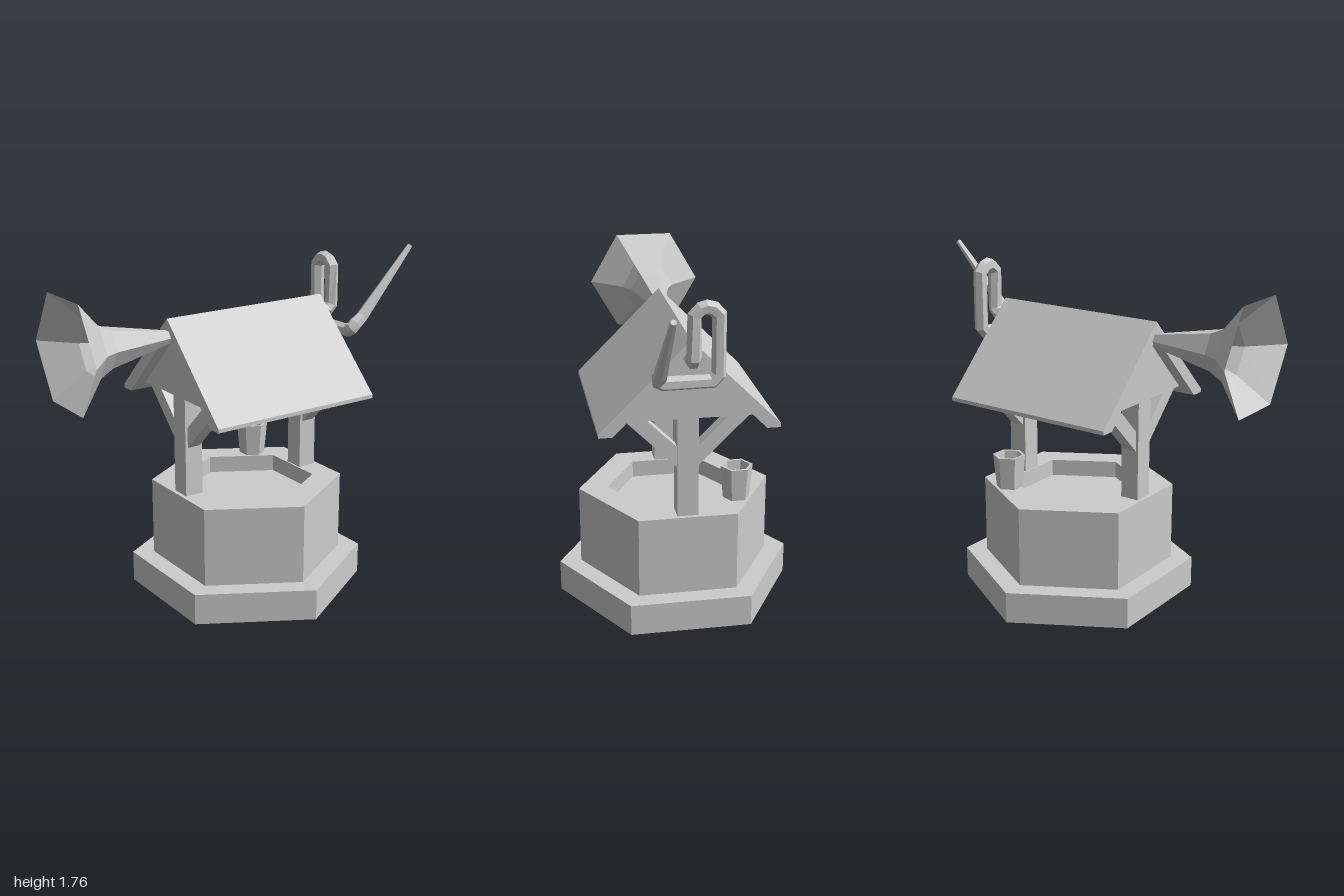
import * as THREE from 'three';

const V = (x, y, z) => new THREE.Vector3(x, y, z);
const CX = 0.034; // centre line of the well

function material(side = THREE.FrontSide) {
  return new THREE.MeshStandardMaterial({ color: 0xcccccc, flatShading: true, side });
}

function add(parent, name, geometry, side) {
  const mesh = new THREE.Mesh(geometry, material(side));
  mesh.name = name;
  parent.add(mesh);
  return mesh;
}

// Six-sided turned form from [radius, height] pairs, corners at +z and -z
function hexLathe(profile) {
  return new THREE.LatheGeometry(profile.map(([r, y]) => new THREE.Vector2(r, y)), 6);
}

// Extrudes a [z, y] outline along x, centred on x
function sideExtrude(outline, x, width) {
  const shape = new THREE.Shape(outline.map(([z, y]) => new THREE.Vector2(-z, y)));
  const g = new THREE.ExtrudeGeometry(shape, { depth: width, bevelEnabled: false });
  g.translate(0, 0, -width / 2);
  g.rotateY(Math.PI / 2);
  g.translate(x, 0, 0);
  return g;
}

// Faceted rod through [point, radius] stations, with closed ends
function rod(stations, sides) {
  const pts = stations.map((s) => s[0]);
  const position = [], index = [];
  let normal = null;
  pts.forEach((p, i) => {
    const before = pts[Math.max(i - 1, 0)], after = pts[Math.min(i + 1, pts.length - 1)];
    const tangent = V(0, 0, 0);
    if (i > 0) tangent.add(p.clone().sub(before).normalize());
    if (i < pts.length - 1) tangent.add(after.clone().sub(p).normalize());
    tangent.normalize();
    if (!normal) normal = V(0, 1, 0);
    normal.addScaledVector(tangent, -normal.dot(tangent)).normalize();
    const binormal = tangent.clone().cross(normal);
    for (let k = 0; k < sides; k++) {
      const a = ((k + 0.5) / sides) * Math.PI * 2;
      const q = p.clone()
        .addScaledVector(normal, Math.cos(a) * stations[i][1])
        .addScaledVector(binormal, Math.sin(a) * stations[i][1]);
      position.push(q.x, q.y, q.z);
    }
  });
  for (let i = 0; i < pts.length - 1; i++) {
    for (let k = 0; k < sides; k++) {
      const a = i * sides + k, b = i * sides + (k + 1) % sides;
      index.push(a, b, b + sides, a, b + sides, a + sides);
    }
  }
  const last = (pts.length - 1) * sides;
  for (let k = 1; k < sides - 1; k++) {
    index.push(0, k + 1, k, last, last + k, last + k + 1);
  }
  const g = new THREE.BufferGeometry();
  g.setAttribute('position', new THREE.Float32BufferAttribute(position, 3));
  g.setIndex(index);
  g.computeVertexNormals();
  return g;
}

export function createModel() {
  const model = new THREE.Group();
  model.name = 'well';

  // Stepped stone base with a slightly hollow underside
  add(model, 'base', hexLathe([[0, 0.02], [0.5, 0.02], [0.54, 0], [0.618, 0], [0.618, 0.165], [0.45, 0.165]]))
    .position.x = CX;

  // Well wall with rim, inner wall and floor
  add(model, 'wellWall', hexLathe([[0.505, 0.165], [0.505, 0.585], [0.355, 0.585], [0.355, 0.495], [0, 0.495]]))
    .position.x = CX;

  // Posts, braces and gables, one set at each end
  for (const s of [-1, 1]) {
    const frame = new THREE.Group();
    frame.name = s > 0 ? 'leftFrame' : 'rightFrame';
    const x = CX + s * 0.366;
    const post = add(frame, 'post', new THREE.BoxGeometry(0.1, 0.6, 0.106));
    post.position.set(x, 0.86, 0);
    for (const f of [-1, 1]) {
      const outline = [[0.05, 0.845], [0.05, 0.95], [0.215, 1.115], [0.32, 1.115]];
      add(frame, 'brace', sideExtrude(outline.map(([z, y]) => [z * f, y]), x, 0.072));
    }
    add(frame, 'gable', sideExtrude([[0.34, 1.105], [-0.34, 1.105], [0, 1.46]], x, 0.1));
    model.add(frame);
  }

  // Pitched roof with level-cut eaves
  const half = [[0.447, 1.075], [0.447, 1.055], [0.378, 1.055]];
  const roof = [[0, 1.52], ...half, [0, 1.44], ...half.map(([z, y]) => [-z, y]).reverse()];
  add(model, 'roof', sideExtrude(roof, 0.033, 0.955));

  // Flared horn on the right end, continuing as the axle
  const horn = add(model, 'horn',
    hexLathe([[0.034, 0.3], [0.036, 0.445], [0.107, 0.78], [0.145, 0.855], [0.31, 1]]), THREE.DoubleSide);
  horn.rotation.z = Math.PI / 2;
  horn.position.y = 1.427;

  const axle = add(model, 'axle', new THREE.CylinderGeometry(0.03, 0.03, 0.85, 6));
  axle.rotation.z = Math.PI / 2;
  axle.position.set(0.13, 1.427, 0);

  // Looped crank: up, over, down and forward
  const X = 0.585, R = 0.037;
  const loop = [
    [0.5, 1.43, 0], [0.56, 1.43, 0], [X, 1.455, 0], [X, 1.66, 0], [X, 1.69, -0.03],
    [X, 1.698, -0.057], [X, 1.69, -0.088], [X, 1.66, -0.117], [X, 1.37, -0.117],
    [X, 1.34, -0.088], [X, 1.34, 0.142], [X + 0.01, 1.355, 0.168],
  ].map((p) => [V(...p), R]);
  // Tapering lever at the end of the crank
  const lever = [
    [V(0.615, 1.376, 0.17), R], [V(0.66, 1.408, 0.17), 0.033], [V(0.985, 1.753, 0.166), 0.015],
  ];
  add(model, 'crank', rod([...loop, ...lever], 6));

  // Small open bucket on the rim
  add(model, 'bucket', hexLathe([
    [0, 0.59], [0.069, 0.59], [0.085, 0.765], [0.07, 0.765], [0.058, 0.61], [0, 0.61],
  ])).position.set(0.272, 0, -0.285);

  return model;
}
